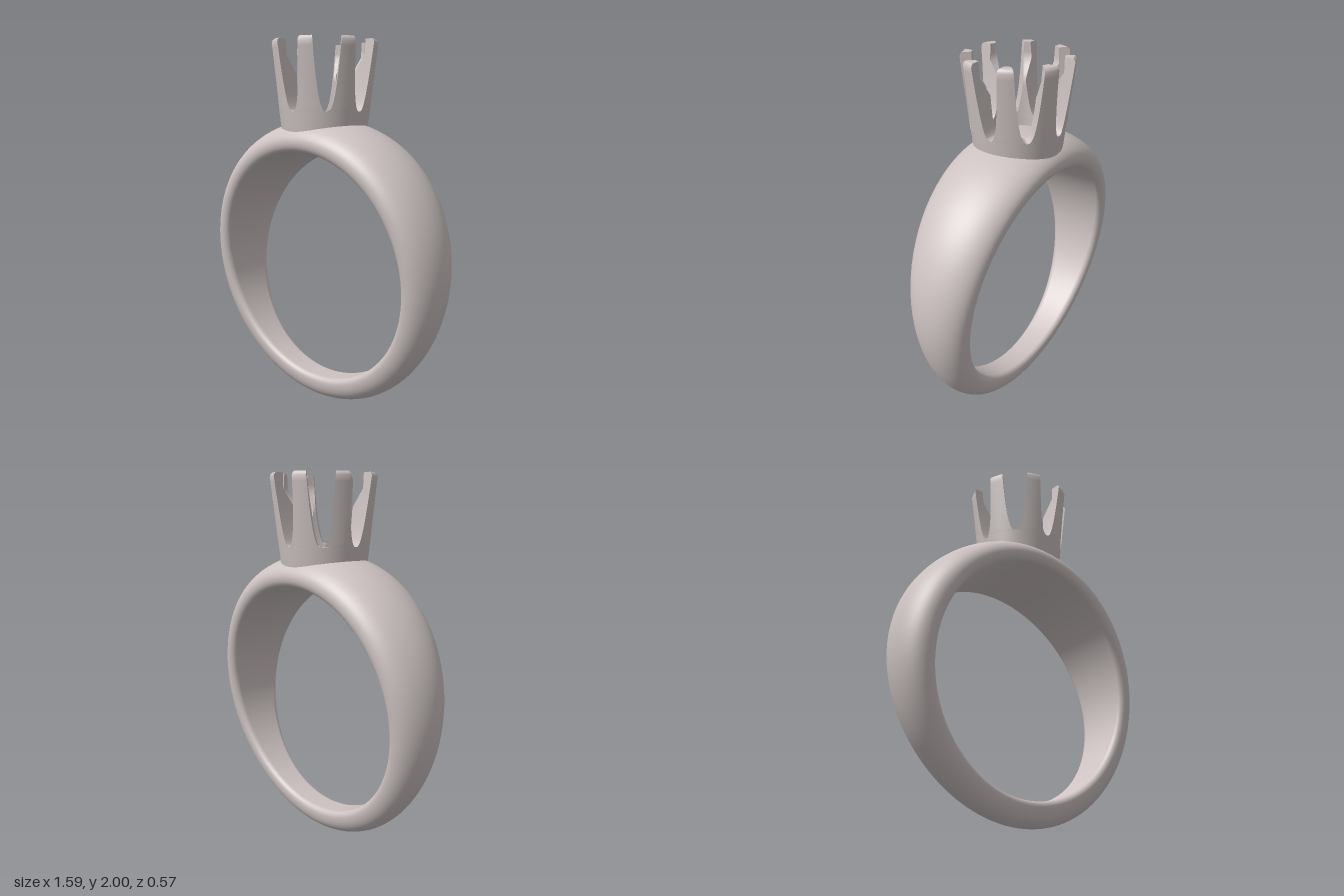
import * as THREE from 'three';
import { toCreasedNormals } from 'three/addons/utils/BufferGeometryUtils.js';

const metal = new THREE.MeshStandardMaterial({ color: 0xccc2c1 });

// Skin a list of closed cross-sections; optionally join the last to the first
function loft(sections, closed, capTop) {
  const n = sections[0].length, m = sections.length, index = [];
  for (let i = 0; i < (closed ? m : m - 1); i++) {
    for (let j = 0; j < n; j++) {
      const a = i * n + j, b = ((i + 1) % m) * n + j;
      const c = i * n + (j + 1) % n, d = ((i + 1) % m) * n + (j + 1) % n;
      index.push(a, b, c, b, d, c);
    }
  }
  if (capTop) {
    const o = (m - 1) * n;
    for (let j = 0; j < n / 2 - 1; j++) {
      const p = o + j, q = o + n - 1 - j;
      index.push(p, q, p + 1, p + 1, q, q - 1);
    }
  }
  const g = new THREE.BufferGeometry();
  g.setAttribute('position', new THREE.Float32BufferAttribute(sections.flat(2), 3));
  g.setIndex(index);
  g.computeVertexNormals();
  return g;
}

// Band: domed outside, flat inside with rounded edges, wider toward the top
function bandGeometry() {
  const STEPS = 128, DOME = 28, CORNER = 6, sections = [];
  for (let i = 0; i < STEPS; i++) {
    const t = (i / STEPS) * Math.PI * 2, s = Math.sin(t), c = Math.cos(t);
    const w = 0.08 + (0.78 + 0.68 * c - 0.1) * 0.132;
    const corner = Math.min(0.035, w * 0.35);
    const at = (r, cy, z) => [r * s, cy + r * c, z];
    const ring = [];
    for (let j = 0; j <= DOME; j++) {
      const p = (j / DOME) * Math.PI, k = Math.sin(p);
      ring.push(at(0.68 + 0.113 * k, 0.78 + 0.012 * k, w * Math.cos(p)));
    }
    for (const side of [-1, 1]) {
      for (let j = 0; j <= CORNER; j++) {
        const f = side < 0 ? j : CORNER - j;
        if (f === 0) continue;
        const p = (f / CORNER) * Math.PI / 2, k = Math.sin(p);
        ring.push(at(0.68 - 0.04 * k, 0.78 - 0.01 * k, side * (w - corner + corner * Math.cos(p))));
      }
    }
    sections.push(ring);
  }
  return loft(sections, true, false);
}

const NOTCH = 1.62, BORE = 0.167;
const outerR = y => 0.237 + (y - 1.54) * 0.126;

// Inside of a prong: bore, sloping stone seat, then a slim tip
function innerR(y) {
  return BORE + 0.068 * THREE.MathUtils.clamp((y - 1.82) / 0.1, 0, 1);
}

// One prong, its sides cut by the straight U-shaped notches next to it
function prongGeometry() {
  const heights = [];
  for (let i = 0; i <= 14; i++) heights.push(NOTCH + 0.2 * (i / 14) ** 2.4);
  heights.push(1.85, 1.885, 1.92, 1.95, 1.98, 1.993, 2);
  const ARC = 7;
  const sections = heights.map(y => {
    const hw = 0.075 * ((y - NOTCH) / 0.38) ** 0.38;
    const round = y > 1.98 ? 0.016 * ((y - 1.98) / 0.02) ** 2 : 0;
    const arc = (r, dir) => {
      const half = Math.max(0.012, Math.PI / 8 - Math.asin(hw / r));
      return Array.from({ length: ARC }, (_, j) => {
        const a = dir * half * (2 * j / (ARC - 1) - 1);
        return [r * Math.cos(a), y, r * Math.sin(a)];
      });
    };
    return [...arc(outerR(y) - round, 1), ...arc(innerR(y), -1)];
  });
  return toCreasedNormals(loft(sections, false, true), 0.6);
}

// Solid collar under the prongs, sunk into the band
function collarGeometry() {
  const pts = [[BORE, NOTCH], [BORE, 1.5], [0.231, 1.5], [outerR(1.54), 1.54], [outerR(NOTCH), NOTCH]];
  const g = new THREE.LatheGeometry(pts.map(p => new THREE.Vector2(...p)), 96);
  return toCreasedNormals(g, 0.6);
}

export function createModel() {
  const model = new THREE.Group();
  model.name = 'ring';
  const add = (parent, name, geometry, material = metal) => {
    const mesh = new THREE.Mesh(geometry, material);
    mesh.name = name;
    parent.add(mesh);
    return mesh;
  };

  add(model, 'band', bandGeometry());

  // Stone setting with eight prongs
  const setting = new THREE.Group();
  setting.name = 'setting';
  model.add(setting);
  const collarMetal = metal.clone();
  collarMetal.side = THREE.DoubleSide;
  add(setting, 'collar', collarGeometry(), collarMetal);
  const prong = prongGeometry();
  for (let i = 0; i < 8; i++) {
    add(setting, 'prong', prong).rotation.y = (i + 0.5) * Math.PI / 4;
  }
  return model;
}
